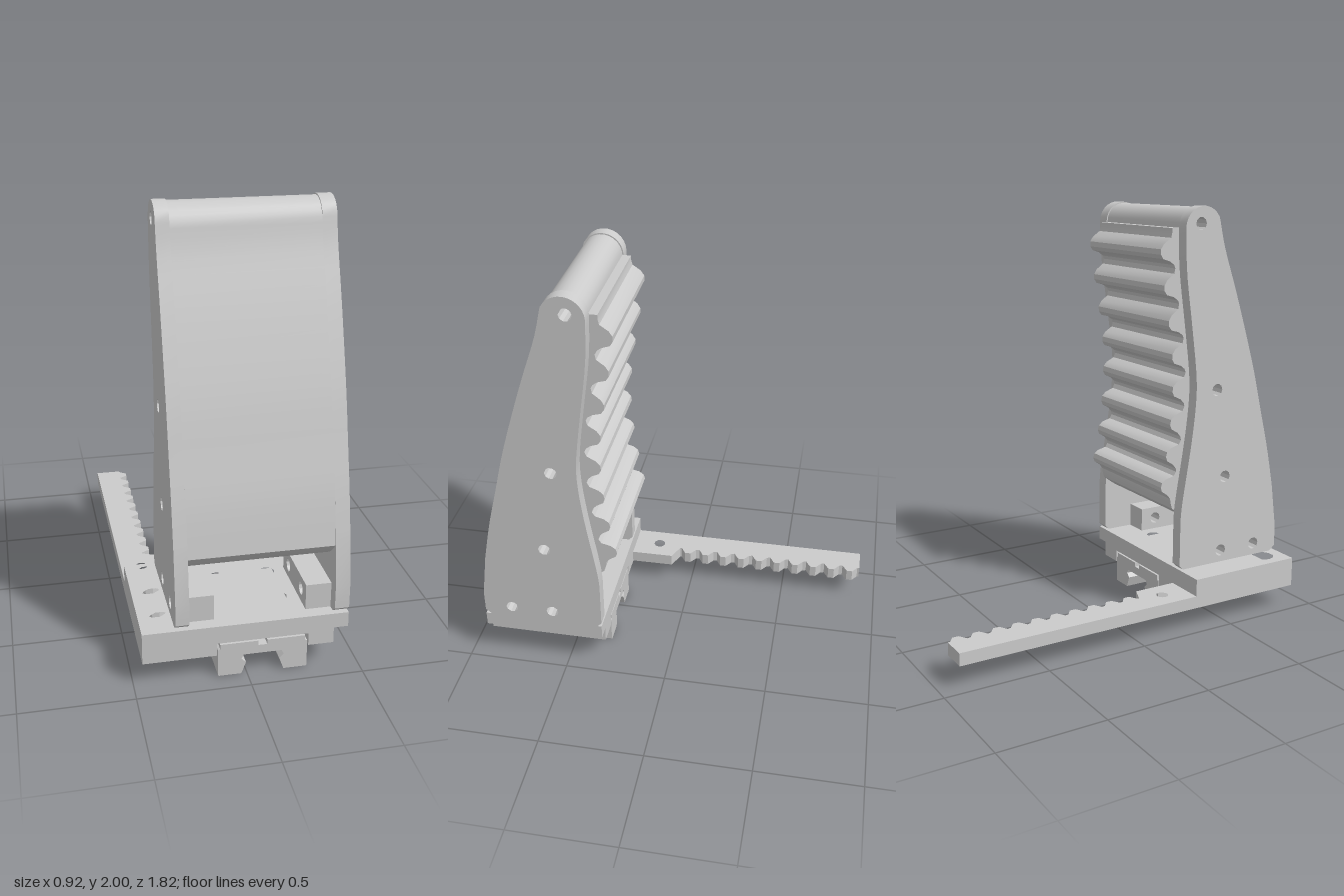
import * as THREE from 'three';
import { toCreasedNormals } from 'three/addons/utils/BufferGeometryUtils.js';

const V = (x, y) => new THREE.Vector2(x, y);
const grey = new THREE.MeshStandardMaterial({ color: 0xcccccc });

export function createModel() {
  const model = new THREE.Group();

  const add = (name, geometry) => {
    const mesh = new THREE.Mesh(geometry, grey);
    mesh.name = name;
    model.add(mesh);
    return mesh;
  };
  const box = (name, x0, x1, y0, y1, z0, z1) =>
    add(name, new THREE.BoxGeometry(x1 - x0, y1 - y0, z1 - z0))
      .position.set((x0 + x1) / 2, (y0 + y1) / 2, (z0 + z1) / 2);

  // Holes are [u, v, radius] in the plane of the outline.
  const extrude = (points, holes, depth) => {
    const shape = new THREE.Shape(points);
    for (const [u, v, r] of holes) {
      const path = new THREE.Path();
      path.absarc(u, v, r, 0, Math.PI * 2, true);
      shape.holes.push(path);
    }
    const g = new THREE.ExtrudeGeometry(shape, { depth, bevelEnabled: false, curveSegments: 5 });
    return toCreasedNormals(g, 0.4);
  };
  // Outline in (z, y), spanning x0..x1
  const sideways = (name, points, holes, x0, x1) => {
    const mesh = add(name, extrude(points, holes, x1 - x0).rotateY(-Math.PI / 2));
    mesh.position.x = x1;
  };
  // Outline in (x, z), spanning y0..y1
  const upward = (name, points, holes, y0, y1) => {
    const flipped = points.map(([x, z]) => V(x, -z));
    const mesh = add(name, extrude(flipped, holes.map(([x, z, r]) => [x, -z, r]), y1 - y0)
      .rotateX(-Math.PI / 2));
    mesh.position.y = y0;
  };
  const rect = (x0, x1, z0, z1) => [[x0, z0], [x1, z0], [x1, z1], [x0, z1]];

  // Shared curved front edge and rounded tip
  const frontEdge = (start) => new THREE.SplineCurve([
    start, V(0.84, 0.8), V(0.79, 1), V(0.74, 1.2), V(0.68, 1.4), V(0.615, 1.6),
    V(0.545, 1.8), V(0.515, 1.92)]).getPoints(24);
  const tip = (r) => {
    const points = [];
    for (let i = 1; i <= 12; i++) {
      const a = 0.25 + (i / 12) * (Math.PI - 0.25);
      points.push(V(0.42 + r * Math.cos(a), 1.9 + r * Math.sin(a)));
    }
    return points;
  };
  const upperHoles = [[0.405, 1.92, 0.03], [0.52, 1.13, 0.03], [0.58, 0.69, 0.03]];
  const lowerHoles = [[0.77, 0.31, 0.03], [0.565, 0.31, 0.03]];

  // Side plates
  const backEdge = new THREE.SplineCurve([
    V(0.32, 1.9), V(0.33, 1.7), V(0.365, 1.45), V(0.395, 1.22), V(0.397, 1.08),
    V(0.375, 0.88), V(0.33, 0.6), V(0.32, 0.5)]).getPoints(24);
  const plate = [
    V(0.34, 0.25), V(0.88, 0.25), V(0.91, 0.275), V(0.91, 0.38),
    ...frontEdge(V(0.88, 0.6)), ...tip(0.1), ...backEdge.slice(1), V(0.32, 0.27)];
  sideways('rightSidePlate', plate, [...upperHoles, ...lowerHoles], -0.315, -0.255);
  sideways('leftSidePlate', plate, [...upperHoles, ...lowerHoles], 0.39, 0.455);

  // Core with ridged back: each ridge is a small profile between two roots
  const roots = [
    V(0.285, 1.88), V(0.305, 1.715), V(0.33, 1.55), V(0.36, 1.385), V(0.375, 1.22),
    V(0.372, 1.055), V(0.355, 0.89), V(0.33, 0.735), V(0.3, 0.585)];
  const ridge = [
    [0, 0], [0.14, 0.12], [0.27, 0.7], [0.4, 0.96], [0.55, 1], [0.68, 0.85], [0.78, 0.35], [0.9, 0.06]];
  const ridges = [];
  for (let i = 0; i < roots.length - 1; i++) {
    const along = roots[i + 1].clone().sub(roots[i]);
    const out = V(along.y, -along.x).normalize().multiplyScalar(0.072);
    for (const [s, h] of ridge)
      ridges.push(roots[i].clone().addScaledVector(along, s).addScaledVector(out, h));
  }
  const underside = new THREE.SplineCurve([
    V(0.31, 0.55), V(0.42, 0.48), V(0.6, 0.45), V(0.78, 0.485), V(0.88, 0.57)]).getPoints(12);
  sideways('ridgedCore', [
    ...underside, ...frontEdge(V(0.872, 0.62)), ...tip(0.094), V(0.285, 1.9),
    ...ridges, roots[8]], upperHoles, -0.255, 0.39);

  // Mounting brackets inside the plates
  const bracket = [V(0.48, 0.25), V(0.85, 0.25), V(0.85, 0.37), V(0.48, 0.37)];
  sideways('rightBracket', bracket, lowerHoles, -0.255, -0.135);
  sideways('leftBracket', bracket, lowerHoles, 0.275, 0.39);

  // Base with counterbores and pockets, feet beside the slide channel
  const bolts = [0.4, 0.6, 0.8];
  const pockets = [];
  for (const x of [-0.05, 0.19]) for (const z of [0.5, 0.72]) pockets.push([x, z, 0.035]);
  upward('base', rect(-0.46, 0.39, 0.32, 0.91),
    [...bolts.map((z) => [-0.36, z, 0.055]), ...pockets], 0.165, 0.25);
  box('leftLedge', 0.39, 0.455, 0.18, 0.25, 0.32, 0.91);
  box('rightFoot', -0.255, -0.135, 0.105, 0.165, 0.32, 0.91);
  box('leftFoot', 0.275, 0.39, 0.105, 0.165, 0.32, 0.91);

  // Toothed rack running out to the back
  const rack = [[-0.46, -0.91], [-0.335, -0.91]];
  for (let i = 0; i < 10; i++) {
    const z = -0.9 + i * 0.098;
    rack.push([-0.335, z], [-0.3, z + 0.026], [-0.3, z + 0.056], [-0.34, z + 0.08]);
  }
  rack.push([-0.34, 0.07], [-0.26, 0.105], [-0.255, 0.91], [-0.46, 0.91]);
  upward('rack', rack, [0.19, ...bolts].map((z) => [-0.36, z, 0.03]), 0.105, 0.165);

  // Slide rail: inverted channel with inner hooks and a small top groove
  const half = [
    [0.02, 0.135], [0.02, 0.157], [0.19, 0.157], [0.19, 0.135], [0.2, 0.13], [0.2, 0.005],
    [0.195, 0], [0.095, 0], [0.075, 0.055], [0.095, 0.075], [0.085, 0.095]];
  const rail = [
    ...half.map(([x, y]) => V(0.07 + x, y)),
    ...half.slice().reverse().map(([x, y]) => V(0.07 - x, y))];
  const slide = add('slideRail', extrude(rail, [], 0.59));
  slide.position.z = 0.32;

  // Centre on z
  return model;
}
